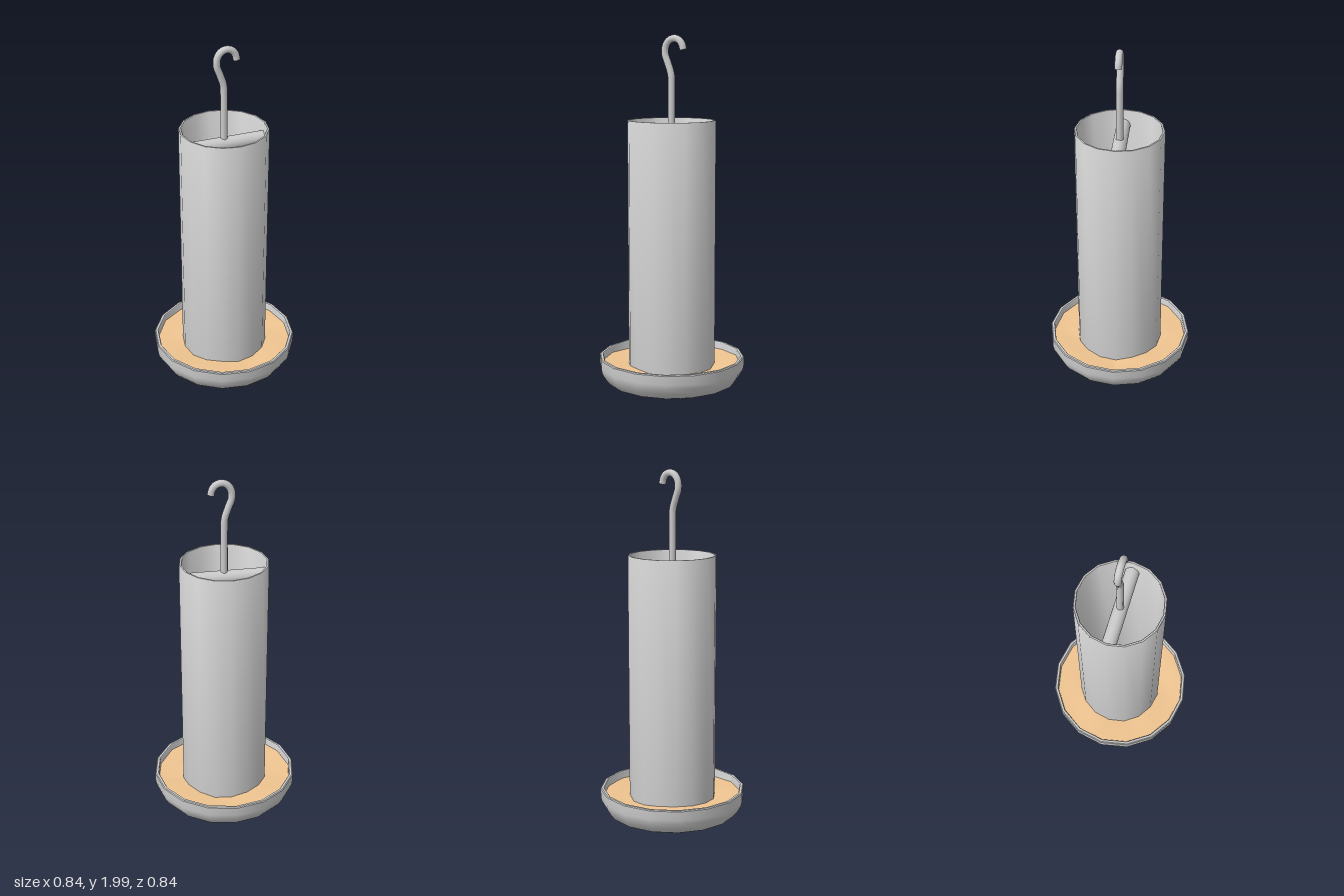
import * as THREE from 'three';
import { toCreasedNormals } from 'three/addons/utils/BufferGeometryUtils.js';

const SIDES = 16;

function mesh(name, geometry, color = 0xcccccc) {
  const m = new THREE.Mesh(geometry, new THREE.MeshStandardMaterial({ color }));
  m.name = name;
  return m;
}

// Turned part from [radius, height] pairs, with sharp rims and smooth sides
function turned(name, profile) {
  const points = profile.map(([r, y]) => new THREE.Vector2(r, y));
  return mesh(name, toCreasedNormals(new THREE.LatheGeometry(points, SIDES), 0.75));
}

// Gently uneven disc of seed
function seedBed(radius, height) {
  const geo = new THREE.RingGeometry(0.001, radius, SIDES, 10);
  geo.rotateX(-Math.PI / 2);
  const p = geo.attributes.position;
  for (let i = 0; i < p.count; i++) {
    const x = p.getX(i), z = p.getZ(i);
    const wave = Math.sin(x * 13 + 1) * Math.cos(z * 11 - 0.5) + 0.5 * Math.sin((x + z) * 17);
    p.setY(i, height + 0.008 * wave);
  }
  geo.computeVertexNormals();
  return mesh('seed', geo, 0xf0c591);
}

export function createModel() {
  const group = new THREE.Group();

  // Shallow dish with rounded underside
  group.add(turned('tray', [
    [0, 0.005], [0.3, 0.005], [0.345, 0.008], [0.372, 0.02], [0.395, 0.05], [0.415, 0.085],
    [0.42, 0.11], [0.42, 0.16], [0.415, 0.165], [0.402, 0.165],
    [0.398, 0.16], [0.398, 0.1], [0.36, 0.04], [0, 0.03],
  ]));
  group.add(seedBed(0.41, 0.12));

  // Open hollow tube standing in the seed
  group.add(turned('tube', [
    [0.235, 0.08], [0.25, 0.08], [0.25, 1.521], [0.247, 1.525],
    [0.238, 1.525], [0.235, 1.521], [0.235, 0.08],
  ]));

  // Crossbar inside the top of the tube
  const bar = mesh('crossbar', new THREE.CylinderGeometry(0.04, 0.04, 0.48, 16));
  bar.rotation.z = Math.PI / 2;
  bar.position.y = 1.43;
  group.add(bar);

  // Bent wire hook rising from the crossbar
  const path = new THREE.CatmullRomCurve3([
    [0, 1.42], [0, 1.55], [0, 1.72], [-0.003, 1.78], [-0.022, 1.84], [-0.041, 1.895],
    [-0.037, 1.94], [-0.015, 1.97], [0.016, 1.98], [0.047, 1.97], [0.066, 1.945], [0.072, 1.917],
  ].map(([x, y]) => new THREE.Vector3(x, y, 0)));
  const hook = new THREE.Group();
  hook.name = 'hook';
  hook.add(mesh('hookWire', new THREE.TubeGeometry(path, 48, 0.02, 12)));
  [0, 1].forEach((t) => {
    const cap = mesh('hookEnd', new THREE.CircleGeometry(0.02, 12));
    cap.position.copy(path.getPointAt(t));
    cap.lookAt(cap.position.clone().addScaledVector(path.getTangentAt(t), t ? 1 : -1));
    hook.add(cap);
  });
  group.add(hook);

  return group;
}
